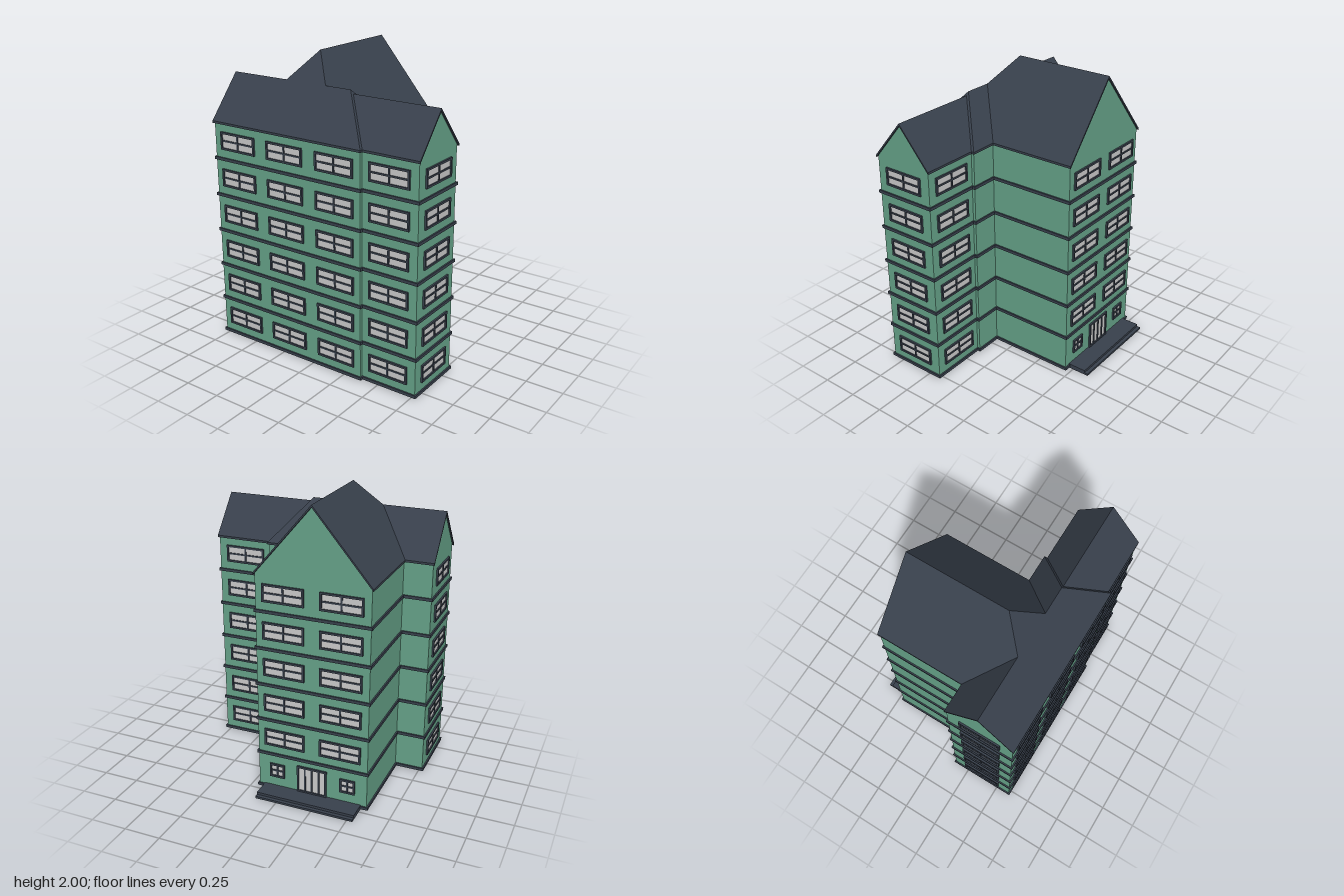
import * as THREE from 'three';

const EAVE = 1.535, SLOPE = 1.177, FLOORS = 6, FLOOR_H = 0.2535;

const green = new THREE.MeshStandardMaterial({ color: 0x66a389, side: THREE.DoubleSide });
const slate = new THREE.MeshStandardMaterial({ color: 0x38404c });
const glass = new THREE.MeshStandardMaterial({ color: 0xcccccc });

function add(parent, name, geometry, material, x = 0, y = 0, z = 0) {
  const mesh = new THREE.Mesh(geometry, material);
  mesh.name = name;
  mesh.position.set(x, y, z);
  parent.add(mesh);
  return mesh;
}

// Building outline in [x, z], pushed outward by d
const outline = (d) => [
  [-0.775 - d, 0.6 + d], [0.38 + d, 0.6 + d], [0.38 + d, 0.58 + d], [0.775 + d, 0.58 + d],
  [0.775 + d, 0.16 - d], [0.38 + d, 0.16 - d], [0.38 + d, 0.14 - d], [0.19 + d, 0.14 - d],
  [0.19 + d, -0.465 - d], [-0.58 - d, -0.465 - d], [-0.58 - d, 0.14 - d], [-0.775 - d, 0.14 - d],
];

const planPoints = (pts) => pts.map(([x, z]) => new THREE.Vector2(x, -z));

// Horizontal slab from a plan shape, rising from y = 0
function slab(shape, thickness) {
  const g = new THREE.ExtrudeGeometry(shape, { depth: thickness, bevelEnabled: false });
  return g.rotateX(-Math.PI / 2);
}

// Sloping roof slab: its top follows height(x, z)
function roofSlab(parent, name, pts, height) {
  const t = 0.015;
  const g = slab(new THREE.Shape(planPoints(pts)), t);
  const p = g.attributes.position;
  for (let i = 0; i < p.count; i++) {
    p.setY(i, p.getY(i) - t + EAVE + SLOPE * height(p.getX(i), p.getZ(i)));
  }
  g.computeVertexNormals();
  add(parent, name, g, slate);
}

// Framed pane with dividing bars, centred on (u, y) of a wall
function windowUnit(wall, name, u, y, w, h, cols, rows) {
  const unit = new THREE.Group();
  unit.name = name;
  unit.position.set(u, y, 0);
  wall.add(unit);
  const f = 0.013, depth = 0.012;
  add(unit, 'pane', new THREE.BoxGeometry(w - f, h - f, 0.006), glass);
  for (const s of [-1, 1]) {
    add(unit, 'frameRail', new THREE.BoxGeometry(w, f, depth), slate, 0, s * (h - f) / 2, depth / 2);
    add(unit, 'frameStile', new THREE.BoxGeometry(f, h, depth), slate, s * (w - f) / 2, 0, depth / 2);
  }
  for (let i = 1; i < cols; i++) {
    add(unit, 'verticalBar', new THREE.BoxGeometry(0.011, h - f, 0.009), slate, (i / cols - 0.5) * (w - f), 0, 0.0045);
  }
  for (let i = 1; i < rows; i++) {
    add(unit, 'crossBar', new THREE.BoxGeometry(w - f, 0.011, 0.009), slate, 0, (i / rows - 0.5) * (h - f), 0.0045);
  }
}

export function createModel() {
  const model = new THREE.Group();
  model.name = 'apartmentBuilding';

  // Walls, one per outline edge: gabled ends and window columns by edge number
  const names = ['frontWall', 'frontStep', 'frontWallLeft', 'leftGable', 'backWallLeft', 'backStep',
    'backWallInner', 'wingLeftWall', 'wingGable', 'wingRightWall', 'backWallRight', 'rightGable'];
  const gabled = [3, 8, 11];
  const columns = { 0: [0.195, 0.58, 0.965], 2: [0.195], 3: [0.21], 4: [0.2], 8: [0.19, 0.58], 11: [0.23] };
  const pts = outline(0);
  pts.forEach(([ax, az], i) => {
    const [bx, bz] = pts[(i + 1) % pts.length];
    const len = Math.hypot(bx - ax, bz - az), top = EAVE - 0.005;
    const wall = new THREE.Group();
    wall.name = names[i];
    wall.position.set(ax, 0, az);
    wall.rotation.y = Math.atan2(az - bz, bx - ax);
    model.add(wall);

    const shape = new THREE.Shape();
    shape.moveTo(0, 0.01).lineTo(len, 0.01).lineTo(len, top);
    if (gabled.includes(i)) shape.lineTo(len / 2, top + SLOPE * len / 2);
    shape.lineTo(0, top);
    add(wall, 'wallPanel', new THREE.ShapeGeometry(shape), green);

    for (const u of columns[i] || []) {
      for (let k = i === 8 ? 1 : 0; k < FLOORS; k++) {
        windowUnit(wall, 'window', u, 0.143 + k * FLOOR_H, 0.285, 0.12, 2, 2);
      }
    }
    // Entrance at the back of the wing
    if (i === 8) {
      windowUnit(wall, 'entranceDoor', len / 2, 0.127, 0.21, 0.195, 4, 1);
      for (const s of [-1, 1]) windowUnit(wall, 'smallWindow', len / 2 + s * 0.25, 0.15, 0.105, 0.1, 2, 2);
    }
  });

  // Trim bands at every floor
  const ring = new THREE.Shape(planPoints(outline(0.01)));
  ring.holes.push(new THREE.Path(planPoints(outline(-0.001))));
  const bandGeometry = slab(ring, 0.02);
  for (let k = 0; k < FLOORS; k++) add(model, 'floorBand', bandGeometry, slate, 0, 0.007 + k * FLOOR_H, 0);

  // Main roof: gabled on the right, hipped on the left, joined to the wing roof
  const roof = new THREE.Group();
  roof.name = 'roof';
  model.add(roof);
  roofSlab(roof, 'mainFrontSlope', [[-0.785, 0.61], [0.39, 0.61], [0.15, 0.37], [-0.04, 0.37],
    [-0.195, 0.215], [-0.35, 0.37], [-0.785, 0.37]], (x, z) => 0.61 - z);
  roofSlab(roof, 'mainHip', [[0.39, 0.61], [0.39, 0.13], [0.15, 0.37]], (x) => 0.39 - x);
  roofSlab(roof, 'mainBackSlopeRight', [[-0.785, 0.37], [-0.35, 0.37], [-0.59, 0.13], [-0.785, 0.13]], (x, z) => z - 0.13);
  roofSlab(roof, 'mainBackSlopeLeft', [[-0.04, 0.37], [0.15, 0.37], [0.39, 0.13], [0.2, 0.13]], (x, z) => z - 0.13);

  // Wing roof, mirrored about its ridge
  for (const s of [-1, 1]) {
    const m = (half, z) => [-0.195 + s * half, z];
    roofSlab(roof, 'wingSlope', [m(0.395, 0.13), m(0.155, 0.37), m(0, 0.215), m(0, -0.475), m(0.395, -0.475)],
      (x) => 0.395 - Math.abs(x + 0.195));
  }

  // Lower side roof, mirrored about its ridge
  for (const s of [-1, 1]) {
    const m = (x, half) => [x, 0.37 + s * half];
    roofSlab(roof, 'sideSlope', [m(0.785, 0.22), m(0.785, 0), m(0.17, 0), m(0.39, 0.22)],
      (x, z) => 0.22 - Math.abs(z - 0.37));
  }

  // Entrance steps
  add(model, 'lowerStep', new THREE.BoxGeometry(0.69, 0.015, 0.155), slate, -0.195, 0.0075, -0.5425);
  add(model, 'upperStep', new THREE.BoxGeometry(0.69, 0.017, 0.13), slate, -0.195, 0.0235, -0.53);

  return model;
}
